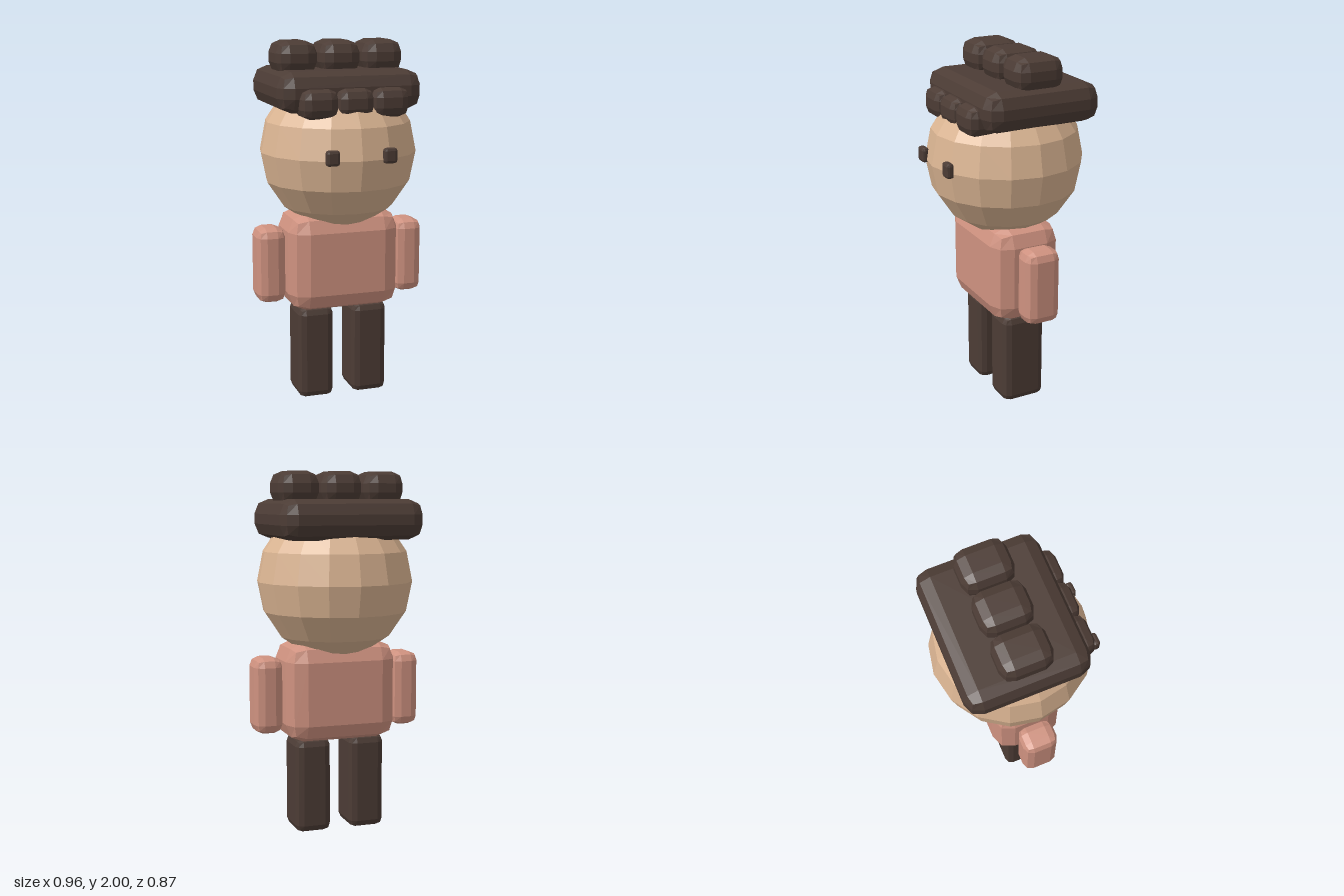
import * as THREE from 'three';
import { RoundedBoxGeometry } from 'three/addons/geometries/RoundedBoxGeometry.js';

// Give every facet its own normal
function faceted(geometry) {
  const g = geometry.index ? geometry.toNonIndexed() : geometry;
  g.computeVertexNormals();
  return g;
}

export function createModel() {
  const skin = new THREE.MeshStandardMaterial({ color: 0xdab492 });
  skin.name = 'skin';
  const shirt = new THREE.MeshStandardMaterial({ color: 0xcf9280 });
  shirt.name = 'shirtPink';
  const dark = new THREE.MeshStandardMaterial({ color: 0x4c3c35 });
  dark.name = 'darkBrown';

  const model = new THREE.Group();
  model.name = 'blockFigure';

  function add(name, geometry, material, x, y, z) {
    const mesh = new THREE.Mesh(faceted(geometry), material);
    mesh.name = name;
    mesh.position.set(x, y, z);
    model.add(mesh);
  }

  // Bevelled block given by its limits on each axis
  function block(name, material, [x0, x1], [y0, y1], [z0, z1], radius) {
    const geometry = new RoundedBoxGeometry(x1 - x0, y1 - y0, z1 - z0, 1, radius);
    add(name, geometry, material, (x0 + x1) / 2, (y0 + y1) / 2, (z0 + z1) / 2);
  }

  // Body and head
  block('torso', shirt, [-0.315, 0.315], [0.52, 1.07], [-0.2, 0.2], 0.1);
  add('head', new THREE.SphereGeometry(0.433, 16, 8), skin, 0, 1.4, 0);

  // Mirrored limbs and eyes
  for (const [side, s] of [['left', 1], ['right', -1]]) {
    const span = (a, b) => (s > 0 ? [a, b] : [-b, -a]);
    block(side + 'Arm', shirt, span(0.32, 0.48), [0.57, 0.99], [-0.1, 0.1], 0.05);
    block(side + 'Leg', dark, span(0.056, 0.258), [0, 0.53], [-0.125, 0.125], 0.04);
    block(side + 'Eye', dark, span(0.12, 0.195), [1.38, 1.462], [0.39, 0.432], 0.015);
  }

  // Hair: wide slab, three blocks on top, three fringe locks
  block('hairSlab', dark, [-0.4, 0.4], [1.635, 1.85], [-0.377, 0.29], 0.08);
  ['right', 'middle', 'left'].forEach((place, i) => {
    const k = i - 1;
    const top = k * 0.242;
    const lock = k * 0.195;
    block(place + 'HairTop', dark, [top - 0.115, top + 0.115], [1.82, 2], [-0.18, 0.1], 0.065);
    block(place + 'Fringe', dark, [lock - 0.103, lock + 0.103], [1.61, 1.765], [0.1, 0.35], 0.05);
  });

  return model;
}
